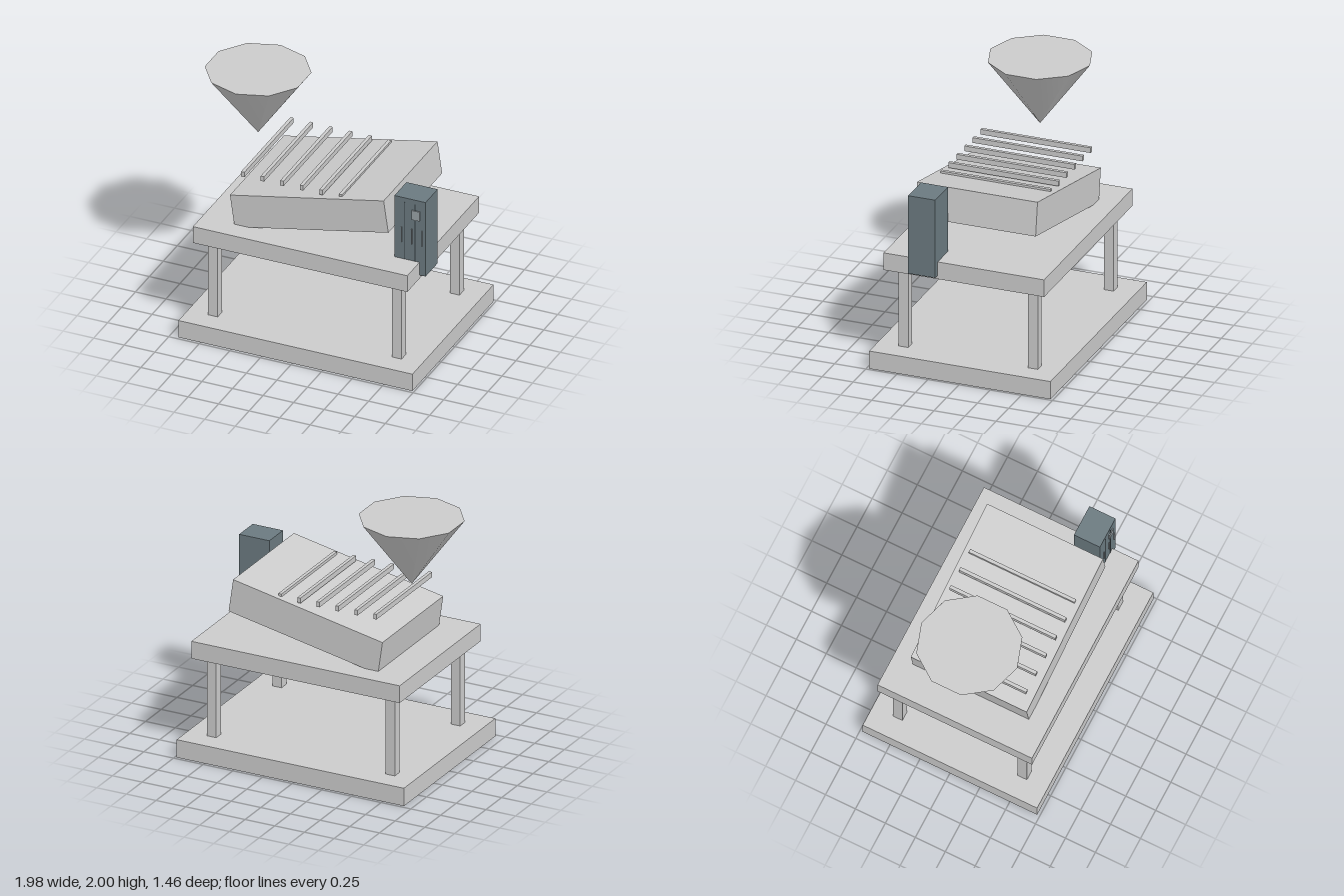
import * as THREE from 'three';

export function createModel() {
  const model = new THREE.Group();
  const grey = new THREE.MeshStandardMaterial({ color: 0xcccccc });
  const steel = new THREE.MeshStandardMaterial({ color: 0x6b7a80 });
  const dark = new THREE.MeshStandardMaterial({ color: 0x30393d });
  const pale = new THREE.MeshStandardMaterial({ color: 0x99a1a5 });

  // Box given by its lower and upper limits on each axis
  function block(name, [x0, x1], [y0, y1], [z0, z1], material = grey, parent = model) {
    const mesh = new THREE.Mesh(new THREE.BoxGeometry(x1 - x0, y1 - y0, z1 - z0), material);
    mesh.position.set((x0 + x1) / 2, (y0 + y1) / 2, (z0 + z1) / 2);
    mesh.name = name;
    parent.add(mesh);
    return mesh;
  }

  // Base slab, table top and four legs
  block('base', [-0.93, 0.985], [0, 0.145], [-0.728, 0.728]);
  block('tableTop', [-0.85, 0.905], [0.79, 0.93], [-0.645, 0.645]);
  for (const x of [-0.725, 0.78]) {
    for (const z of [-0.52, 0.52]) {
      block('leg', [x - 0.039, x + 0.039], [0.145, 0.79], [z - 0.039, z + 0.039]);
    }
  }

  // Inclined deck, a slanted profile extruded across the table
  const profile = new THREE.Shape([
    new THREE.Vector2(-0.62, 1.172),
    new THREE.Vector2(-0.582, 0.907),
    new THREE.Vector2(0.676, 1.16),
    new THREE.Vector2(0.638, 1.425),
  ]);
  const deckGeometry = new THREE.ExtrudeGeometry(profile, { depth: 0.968, bevelEnabled: false });
  deckGeometry.translate(0, 0, -0.484);
  const deck = new THREE.Mesh(deckGeometry, grey);
  deck.name = 'inclinedDeck';
  model.add(deck);

  // Row of level slats above the deck
  for (let i = 0; i < 6; i++) {
    const x = -0.534 + i * 0.16;
    block('slat', [x - 0.0135, x + 0.0135], [1.328, 1.37], [-0.442, 0.442]);
  }

  // Ten-sided feed hopper, point down
  const hopper = new THREE.Mesh(new THREE.ConeGeometry(0.4, 0.54, 10), grey);
  hopper.rotation.x = Math.PI;
  hopper.position.set(-0.61, 1.73, 0);
  hopper.name = 'hopper';
  model.add(hopper);

  // Control cabinet with door seams, handles and a display
  const cabinet = new THREE.Group();
  cabinet.name = 'controlCabinet';
  model.add(cabinet);
  block('cabinetBody', [0.7, 0.955], [0.82, 1.457], [0.21, 0.427], steel, cabinet);
  for (const x of [0.785, 0.869]) {
    block('doorSeam', [x - 0.003, x + 0.003], [0.858, 1.42], [0.425, 0.429], dark, cabinet);
  }
  for (const x of [0.76, 0.844, 0.928]) {
    block('doorHandle', [x - 0.003, x + 0.003], [1.075, 1.205], [0.425, 0.437], pale, cabinet);
  }
  block('displayPanel', [0.844, 0.908], [1.287, 1.367], [0.425, 0.436], pale, cabinet);

  return model;
}
